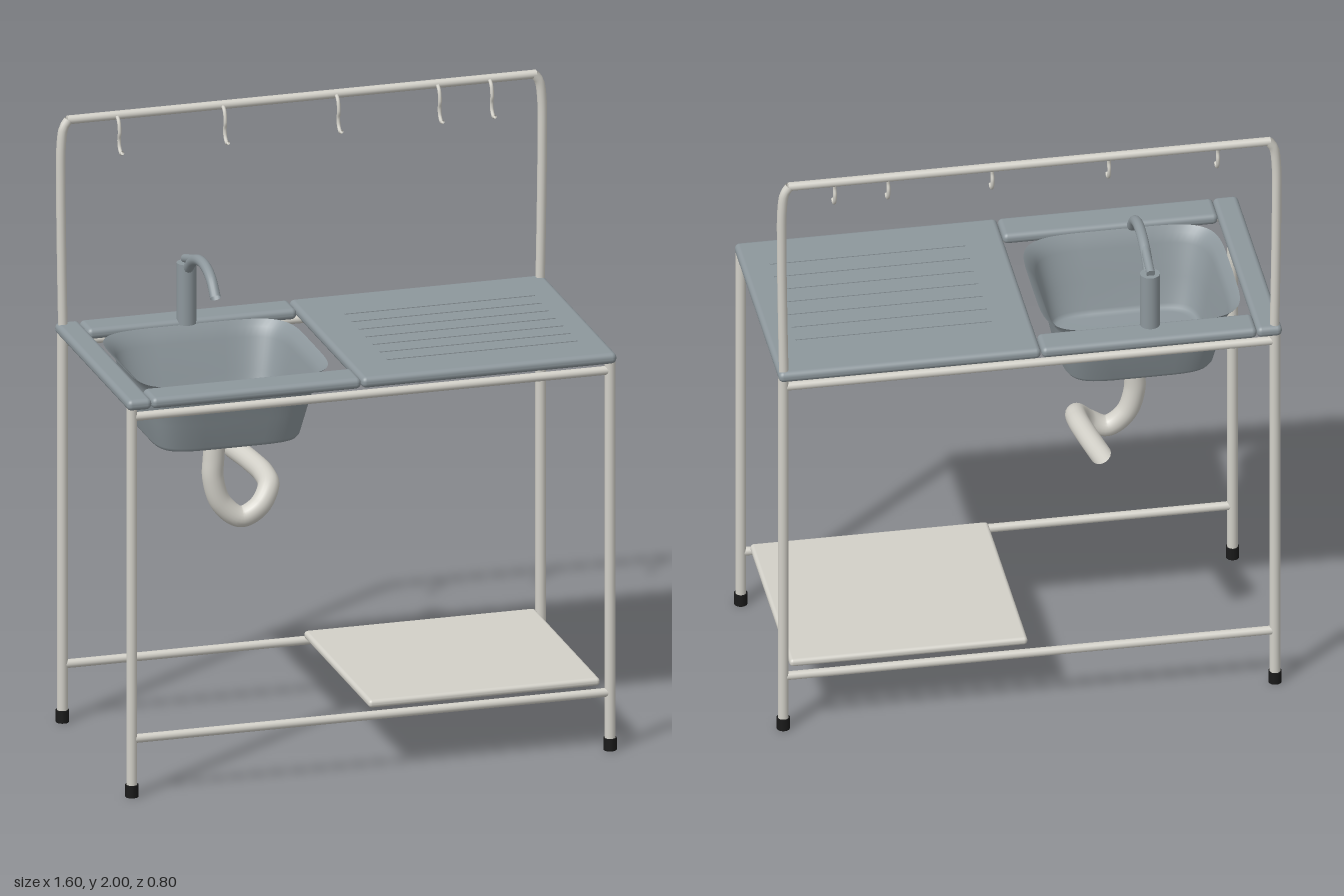
import * as THREE from 'three';
import { RoundedBoxGeometry } from 'three/addons/geometries/RoundedBoxGeometry.js';

const V = (x, y, z) => new THREE.Vector3(x, y, z);
const mat = (color) => new THREE.MeshStandardMaterial({ color, side: THREE.DoubleSide });

export function createModel() {
  const root = new THREE.Group();
  const steel = mat(0x8d979c), tubeMat = mat(0xd2d0c8), rubber = mat(0x1a1a1a);

  const add = (name, geo, material) => {
    const m = new THREE.Mesh(geo, material);
    m.name = name;
    root.add(m);
    return m;
  };
  // Rounded slab given by its min and max corners
  const slab = (name, x0, x1, y0, y1, z0, z1, material) => {
    const r = (y1 - y0) * 0.45;
    add(name, new RoundedBoxGeometry(x1 - x0, y1 - y0, z1 - z0, 3, r), material)
      .position.set((x0 + x1) / 2, (y0 + y1) / 2, (z0 + z1) / 2);
  };
  // Straight capped rod between two points
  const rod = (name, a, b, r, material, sides = 16) => {
    const m = add(name, new THREE.CylinderGeometry(r, r, a.distanceTo(b), sides), material);
    m.position.copy(a).add(b).multiplyScalar(0.5);
    m.quaternion.setFromUnitVectors(V(0, 1, 0), b.clone().sub(a).normalize());
  };
  // Bent tube through points
  const tube = (name, pts, r, material, segs = 32, sides = 14) =>
    add(name, new THREE.TubeGeometry(new THREE.CatmullRomCurve3(pts), segs, r, sides), material);

  // Legs, feet and the raised rear uprights
  for (const sx of [-1, 1]) {
    for (const sz of [-1, 1]) {
      rod('leg', V(sx * 0.78, 0.02, sz * 0.375), V(sx * 0.78, 1.29, sz * 0.375), 0.017, tubeMat);
      rod('foot', V(sx * 0.78, 0, sz * 0.375), V(sx * 0.78, 0.04, sz * 0.375), 0.021, rubber);
    }
    tube('rearUpright', [V(sx * 0.778, 1.28, -0.375), V(sx * 0.782, 1.5, -0.375), V(sx * 0.785, 1.75, -0.375),
      V(sx * 0.784, 1.9, -0.375), V(sx * 0.776, 1.96, -0.375), V(sx * 0.76, 1.985, -0.375)], 0.015, tubeMat, 36);
  }

  // Long rails, front and back
  for (const z of [-0.375, 0.375]) {
    rod('upperRail', V(-0.78, 1.253, z), V(0.78, 1.253, z), 0.014, tubeMat);
    rod('lowerRail', V(-0.78, 0.19, z), V(0.78, 0.19, z), 0.014, tubeMat);
  }
  rod('topBar', V(-0.765, 1.985, -0.375), V(0.765, 1.985, -0.375), 0.014, tubeMat);

  // Lower shelf
  slab('shelf', 0, 0.755, 0.205, 0.231, -0.355, 0.355, tubeMat);

  // Counter: strips around the basin and the draining board
  slab('counterLeftStrip', -0.8, -0.72, 1.278, 1.314, -0.4, 0.4, steel);
  slab('counterFrontStrip', -0.72, -0.037, 1.278, 1.314, 0.287, 0.4, steel);
  slab('counterBackStrip', -0.72, -0.037, 1.278, 1.314, -0.4, -0.296, steel);
  slab('drainingBoard', -0.035, 0.797, 1.278, 1.314, -0.4, 0.4, steel);
  for (let i = 0; i < 7; i++) {
    add('drainRib', new THREE.BoxGeometry(0.62, 0.004, 0.006), steel)
      .position.set(0.4, 1.3145, 0.25 - i * 0.076);
  }

  add('basin', basinGeometry(), steel);

  // Tap: post, arched spout and lever
  rod('tapPost', V(-0.395, 1.3, -0.31), V(-0.395, 1.5, -0.31), 0.031, steel, 24);
  tube('tapSpout', [V(-0.395, 1.48, -0.3), V(-0.395, 1.527, -0.24), V(-0.395, 1.552, -0.17), V(-0.395, 1.553, -0.1),
    V(-0.395, 1.53, -0.04), V(-0.395, 1.485, 0.004)], 0.017, steel);
  rod('tapLever', V(-0.395, 1.508, -0.325), V(-0.395, 1.541, -0.215), 0.014, steel);

  // Drain trap
  tube('drainPipe', [V(-0.395, 1.032, 0), V(-0.4, 0.96, 0), V(-0.402, 0.89, 0), V(-0.375, 0.805, 0.002),
    V(-0.315, 0.757, 0.008), V(-0.255, 0.785, 0.008), V(-0.212, 0.835, -0.03), V(-0.205, 0.852, -0.1),
    V(-0.215, 0.86, -0.2), V(-0.235, 0.865, -0.33)], 0.034, tubeMat, 72, 20);

  // Hanging hooks
  for (const x of [-0.605, -0.26, 0.11, 0.44, 0.61]) {
    tube('hook', [V(x, 1.985, -0.36), V(x, 1.972, -0.344), V(x, 1.94, -0.336), V(x, 1.915, -0.342),
      V(x, 1.89, -0.336), V(x, 1.877, -0.32), V(x, 1.882, -0.305)], 0.006, tubeMat, 24, 8);
  }
  return root;
}

// Tapered bowl built from rounded-square loops
function basinGeometry() {
  const N = 64, cx = -0.392, cz = -0.005;
  // height, half width, half depth
  const loops = [[1.3, 0.317, 0.29], [1.28, 0.293, 0.279], [1.25, 0.281, 0.266], [1.15, 0.258, 0.234],
    [1.066, 0.239, 0.208], [1.054, 0.231, 0.2], [1.05, 0.215, 0.185], [1.05, 0.11, 0.095]];
  const pos = [], idx = [];
  const p = (v) => Math.sign(v) * Math.pow(Math.abs(v), 0.4);
  for (const [y, w, d] of loops) {
    for (let i = 0; i < N; i++) {
      const a = (i / N) * Math.PI * 2;
      pos.push(cx + w * p(Math.cos(a)), y, cz + d * p(Math.sin(a)));
    }
  }
  const centre = pos.length / 3;
  pos.push(cx, 1.05, cz);
  for (let i = 0; i < N; i++) {
    const j = (i + 1) % N;
    for (let k = 0; k < loops.length - 1; k++) {
      const a = k * N + i, b = k * N + j;
      idx.push(a, b, a + N, b, b + N, a + N);
    }
    const last = (loops.length - 1) * N;
    idx.push(last + i, last + j, centre);
  }
  const g = new THREE.BufferGeometry();
  g.setAttribute('position', new THREE.Float32BufferAttribute(pos, 3));
  g.setIndex(idx);
  g.computeVertexNormals();
  return g;
}
